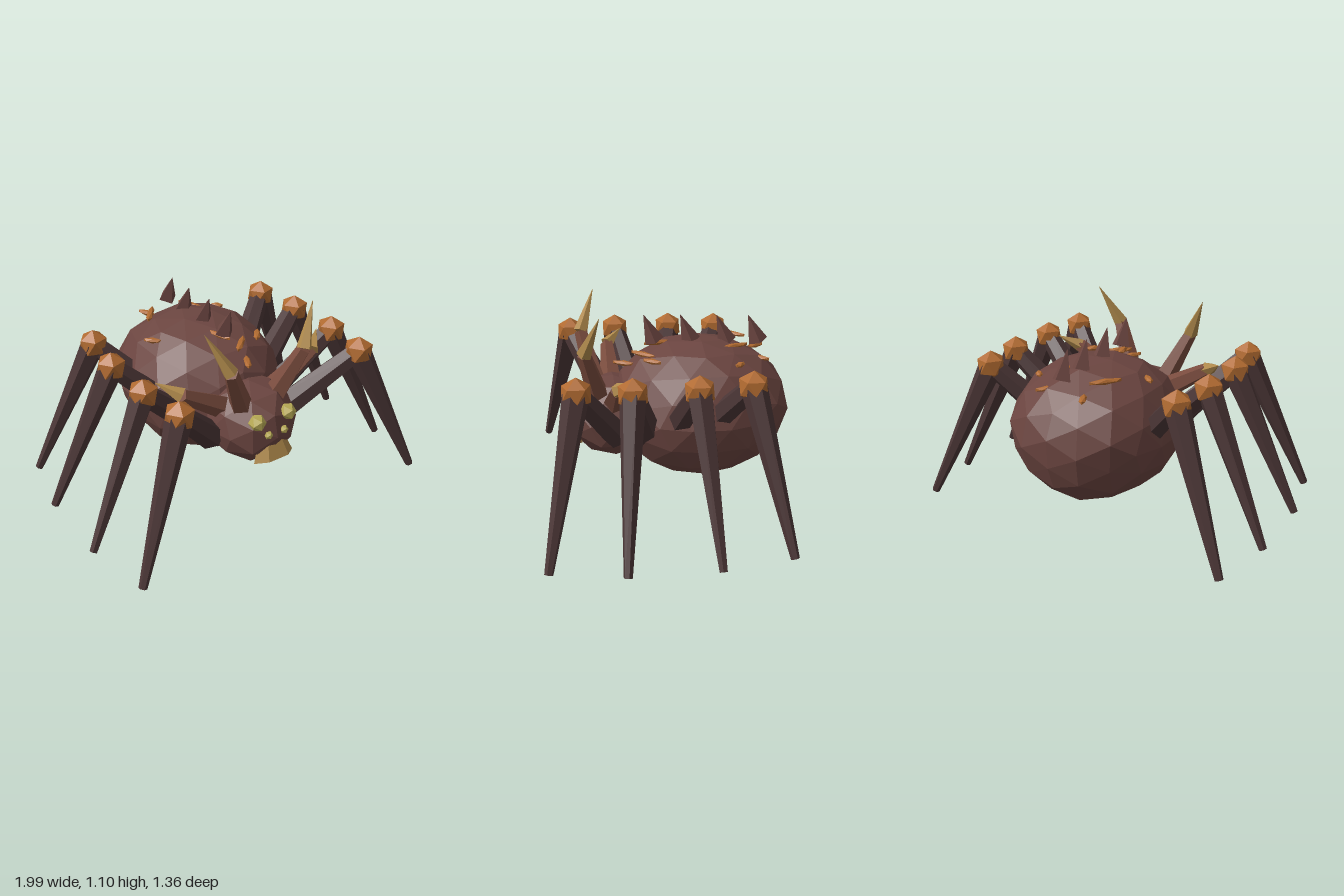
import * as THREE from 'three';

const mat = (color) => new THREE.MeshStandardMaterial({ color, flatShading: true });
const V = (x, y, z) => new THREE.Vector3(x, y, z);
const UP = V(0, 1, 0);

export function createModel() {
  const root = new THREE.Group();
  const shell = mat(0x6b4540);
  const legMat = mat(0x4b3636);
  const orange = mat(0xb06a30);
  const hornMat = mat(0x7a4c3e);
  const gold = mat(0xb08a4c);
  const eyeMat = mat(0xb8aa55);

  const add = (name, geometry, material, parent = root) => {
    const mesh = new THREE.Mesh(geometry, material);
    mesh.name = name;
    parent.add(mesh);
    return mesh;
  };

  // Tapered prism running from point a to point b
  const limb = (name, a, b, ra, rb, sides, material, parent) => {
    const d = b.clone().sub(a);
    const mesh = add(name, new THREE.CylinderGeometry(rb, ra, d.length(), sides), material, parent);
    mesh.position.copy(a).addScaledVector(d, 0.5);
    mesh.quaternion.setFromUnitVectors(UP, d.normalize());
    return mesh;
  };

  // Faceted ellipsoid with a slightly uneven surface
  const lump = (radii, detail, rough, boxy) => {
    const g = new THREE.IcosahedronGeometry(1, detail);
    const p = g.attributes.position;
    const v = V(0, 0, 0);
    for (let i = 0; i < p.count; i++) {
      v.fromBufferAttribute(p, i);
      const n = Math.sin(v.x * 7.1 + v.y * 3.3) * Math.sin(v.y * 6.3 + v.z * 4.7) * Math.cos(v.z * 5.9 - v.x * 2.1);
      const s = 1 + rough * n + boxy * (1 - v.x ** 4 - v.y ** 4 - v.z ** 4);
      v.multiplyScalar(s).multiply(radii);
      p.setXYZ(i, v.x, v.y, v.z);
    }
    g.computeVertexNormals();
    return g;
  };

  // Body
  add('abdomen', lump(V(0.445, 0.38, 0.49), 2, 0.04, 0.05), shell).position.set(-0.005, 0.52, -0.195);
  add('head', lump(V(0.25, 0.22, 0.26), 1, 0.04, 0.06), shell).position.set(0, 0.48, 0.28);

  // Mouth: a faceted block, wide at its middle
  const mouth = add('mouth', new THREE.CylinderGeometry(0.075, 0.115, 0.11, 6), gold);
  mouth.geometry.rotateY(Math.PI / 6).scale(1.1, 1, 0.5);
  mouth.position.set(0, 0.4, 0.495);
  mouth.rotation.x = -0.25;

  // Legs, eyes and horns on both sides
  const legs = [
    { hip: [0.25, 0.45, 0.28], knee: [0.565, 0.8, 0.495], foot: [0.9, 0.018, 0.66] },
    { hip: [0.25, 0.45, 0.12], knee: [0.605, 0.8, 0.225], foot: [0.975, 0.018, 0.29] },
    { hip: [0.25, 0.45, -0.02], knee: [0.605, 0.8, -0.1], foot: [0.975, 0.018, -0.165] },
    { hip: [0.25, 0.45, -0.18], knee: [0.565, 0.8, -0.375], foot: [0.9, 0.018, -0.535] },
  ];
  const horns = [
    { name: 'topHorn', base: [0.1, 0.6, 0.36], joint: [0.23, 0.89, 0.44], tip: [0.335, 1.105, 0.365] },
    { name: 'sideHorn', base: [0.17, 0.6, 0.28], joint: [0.42, 0.755, 0.285], tip: [0.52, 0.82, 0.2] },
  ];
  const kneeGeo = new THREE.IcosahedronGeometry(0.083, 0).rotateZ(Math.atan(0.618));

  for (const side of [1, -1]) {
    const label = side > 0 ? 'left' : 'right';
    const at = ([x, y, z]) => V(side * x, y, z);

    legs.forEach(({ hip, knee, foot }, i) => {
      const leg = new THREE.Group();
      leg.name = `${label}Leg${i + 1}`;
      root.add(leg);
      limb('upperLeg', at(hip), at(knee), 0.078, 0.055, 6, legMat, leg);
      limb('lowerLeg', at(knee), at(foot), 0.068, 0.022, 6, legMat, leg);
      add('knee', kneeGeo, orange, leg).position.copy(at(knee));
    });

    for (const { name, base, joint, tip } of horns) {
      const horn = new THREE.Group();
      horn.name = `${label}${name}`;
      root.add(horn);
      limb('hornBase', at(base), at(joint), 0.065, 0.038, 5, hornMat, horn);
      limb('hornTip', at(joint), at(tip), 0.042, 0.001, 5, gold, horn);
    }

    add(`${label}LargeEye`, new THREE.IcosahedronGeometry(0.048, 0), eyeMat).position.set(side * 0.098, 0.582, 0.49);
    add(`${label}SmallEye`, new THREE.IcosahedronGeometry(0.024, 0), eyeMat).position.set(side * 0.05, 0.508, 0.525);
  }

  // Row of forward-leaning spikes along the back
  [[0.885, 0.05], [0.88, -0.15], [0.87, -0.35], [0.866, -0.525]].forEach(([y, z], i) => {
    limb(`backSpike${i + 1}`, V(0, y, z), V(0, y + 0.147, z + 0.06), 0.054, 0.001, 4, shell);
  });

  // Flat slivers on the back: start x, z, end x, z, height
  const slivers = [
    [-0.16, -0.59, -0.11, -0.49, 0.8], [-0.24, -0.34, -0.13, -0.48, 0.86],
    [0.05, -0.45, 0.14, -0.56, 0.8], [0.03, -0.46, 0.11, -0.28, 0.86],
    [0.22, -0.4, 0.27, -0.35, 0.81], [-0.34, -0.22, -0.27, -0.15, 0.825],
    [-0.04, -0.03, 0, 0.11, 0.87], [0.16, 0.13, 0.23, 0.04, 0.83],
    [0, 0.18, 0.12, 0.06, 0.83], [0, 0.28, 0.06, 0.17, 0.775],
  ];
  slivers.forEach(([x0, z0, x1, z1, y], i) => {
    const half = Math.hypot(x1 - x0, z1 - z0) / 2;
    const g = new THREE.IcosahedronGeometry(1, 0).scale(0.02, 0.015, half * 1.12);
    const m = add(`sliver${i + 1}`, g, orange);
    m.position.set((x0 + x1) / 2, y, (z0 + z1) / 2);
    m.rotation.y = Math.atan2(x1 - x0, z1 - z0);
  });

  return root;
}
